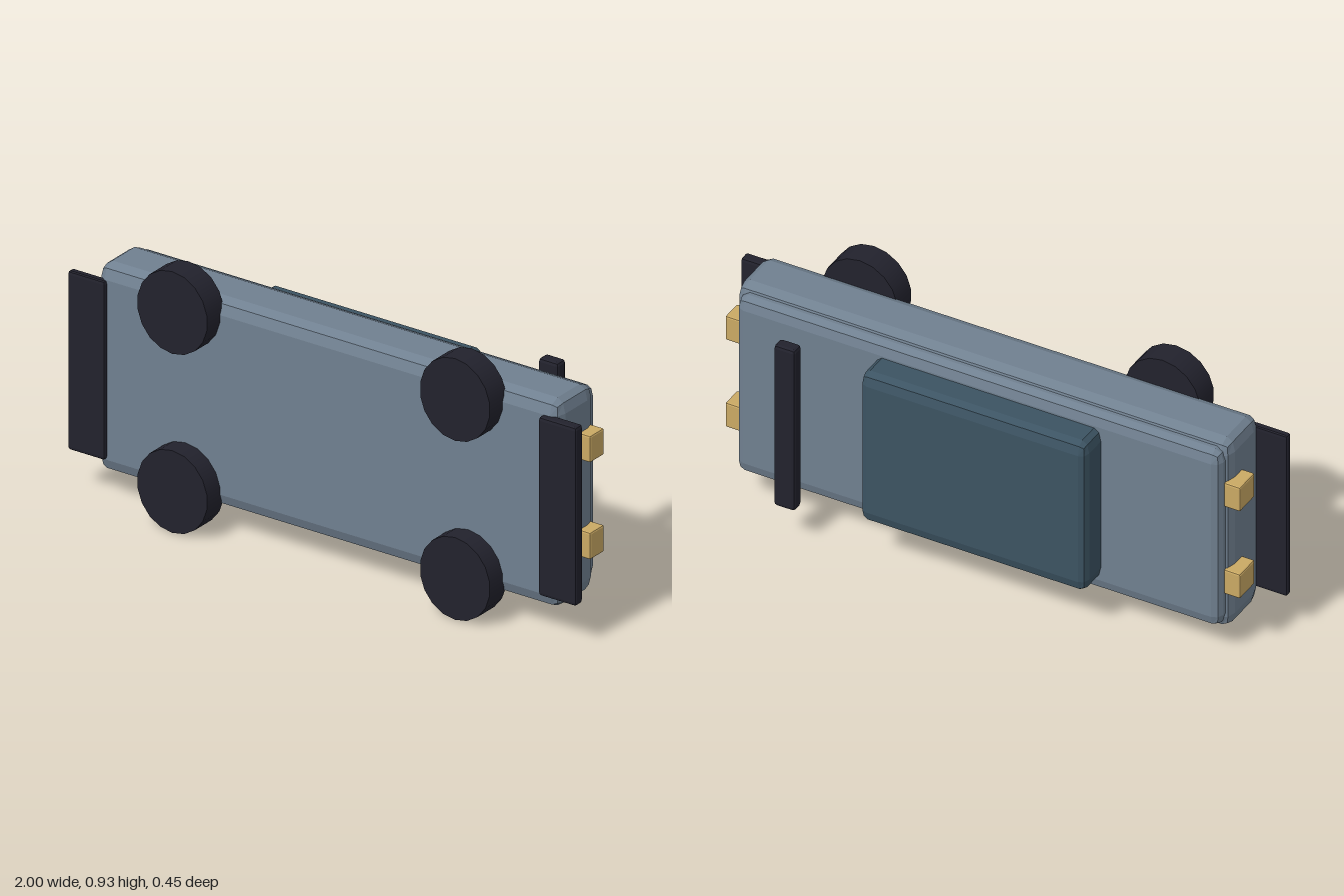
import * as THREE from 'three';
import { RoundedBoxGeometry } from 'three/addons/geometries/RoundedBoxGeometry.js';

const paint = (name, color) => {
  const m = new THREE.MeshStandardMaterial({ color });
  m.name = name;
  return m;
};

export function createModel() {
  const group = new THREE.Group();
  const bodyPaint = paint('slate body paint', 0x708090);
  const glass = paint('dark teal glass', 0x3c5362);
  const rubber = paint('black trim', 0x22222d);
  const lamp = paint('amber lamp', 0xcaa964);

  // Box with faceted edges, given by its limits and a bevel size per axis
  const block = (name, material, [x0, x1], [y0, y1], [z0, z1], [rx, ry, rz]) => {
    const size = [(x1 - x0) / rx, (y1 - y0) / ry, (z1 - z0) / rz];
    const geometry = new RoundedBoxGeometry(...size, 1, 1).scale(rx, ry, rz);
    geometry.deleteAttribute('normal');
    geometry.computeVertexNormals();
    const mesh = new THREE.Mesh(geometry, material);
    mesh.name = name;
    mesh.position.set((x0 + x1) / 2, (y0 + y1) / 2, (z0 + z1) / 2);
    group.add(mesh);
  };

  // The car lies on its side: its roof faces -z and its wheels face +z
  block('body', bodyPaint, [-0.895, 0.912], [0.095, 0.832], [-0.057, 0.155], [0.03, 0.05, 0.045]);
  block('upperDeck', bodyPaint, [-0.88, 0.893], [0.117, 0.81], [-0.09, 0.0], [0.03, 0.045, 0.03]);
  block('cabin', glass, [-0.447, 0.38], [0.17, 0.758], [-0.196, -0.03], [0.025, 0.045, 0.03]);

  // Bumper plates and rear wing
  const across = [0.147, 0.781];
  block('leftBumper', rubber, [0.853, 1], across, [0.137, 0.177], [0.008, 0.012, 0.008]);
  block('rightBumper', rubber, [-1, -0.855], across, [0.14, 0.168], [0.008, 0.012, 0.006]);
  block('wing', rubber, [0.6, 0.677], across, [-0.225, -0.178], [0.01, 0.012, 0.01]);

  // Lamps at both ends
  for (const y of [[0.245, 0.34], [0.589, 0.683]]) {
    block('leftLamp', lamp, [0.895, 0.955], y, [-0.045, 0.033], [0.006, 0.006, 0.006]);
    block('rightLamp', lamp, [-0.94, -0.88], y, [-0.06, 0.037], [0.006, 0.006, 0.006]);
  }

  // Slightly oval wheels
  const wheelGeometry = new THREE.CylinderGeometry(1, 1, 0.092, 18)
    .rotateX(Math.PI / 2)
    .scale(0.138, 0.146, 1);
  for (const x of [-0.547, 0.562]) {
    for (const y of [0.146, 0.781]) {
      const wheel = new THREE.Mesh(wheelGeometry, rubber);
      wheel.name = 'wheel';
      wheel.position.set(x, y, 0.181);
      group.add(wheel);
    }
  }
  return group;
}
